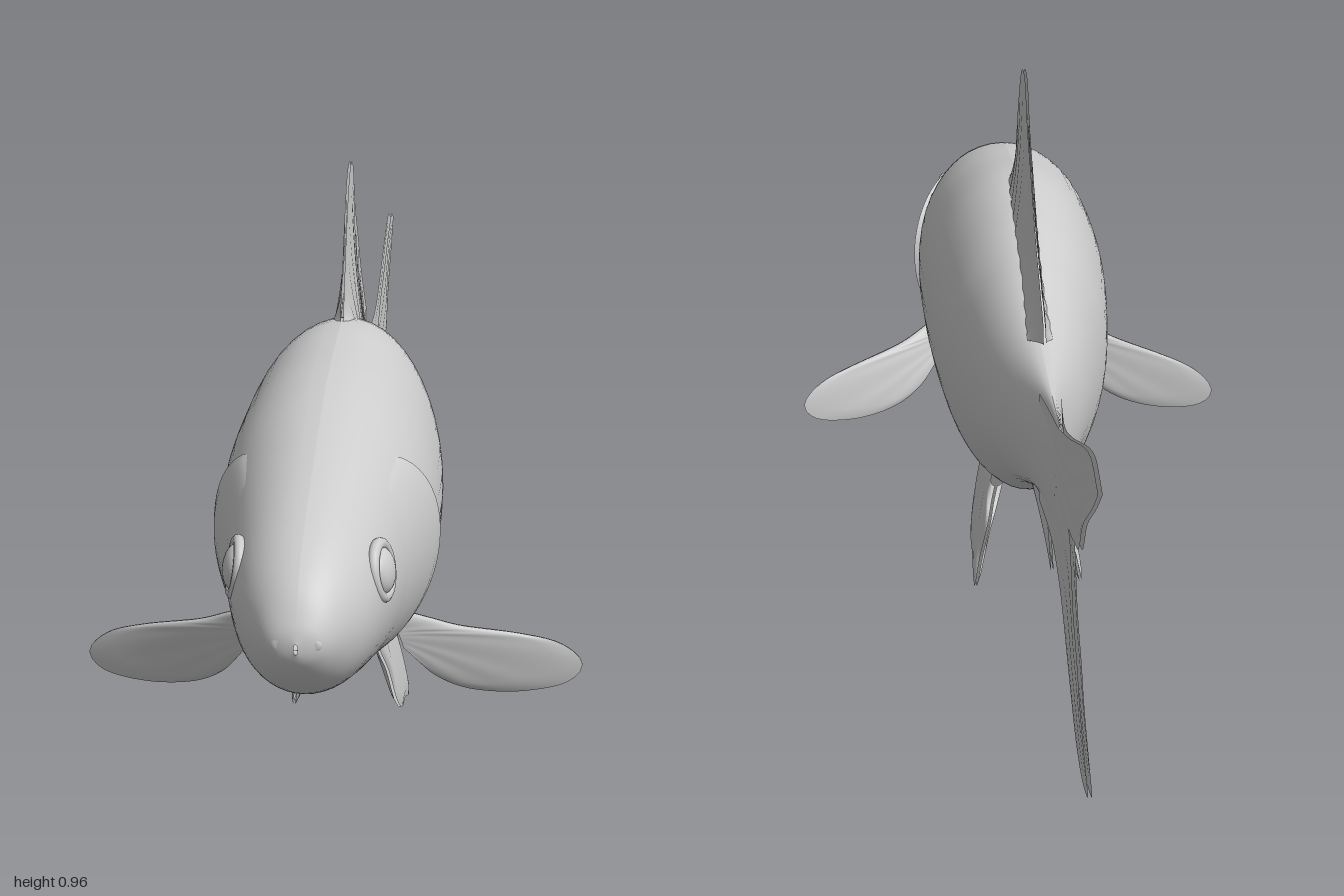
import * as THREE from 'three';

const grey = new THREE.MeshStandardMaterial({ color: 0xcccccc, side: THREE.DoubleSide });

// Smooth surface from a rule: point(u, v) -> [x, y, z]; several sheets share one mesh
function sheets(name, points, nu, nv) {
  const pos = [], index = [];
  points.forEach((point, k) => {
    const base = pos.length / 3;
    for (let i = 0; i <= nu; i++)
      for (let j = 0; j <= nv; j++) pos.push(...point(i / nu, j / nv));
    for (let i = 0; i < nu; i++)
      for (let j = 0; j < nv; j++) {
        const a = base + i * (nv + 1) + j, b = a + nv + 1;
        if (k % 2) index.push(a, a + 1, b, b, a + 1, b + 1);
        else index.push(a, b, a + 1, b, b + 1, a + 1);
      }
  });
  const g = new THREE.BufferGeometry();
  g.setAttribute('position', new THREE.Float32BufferAttribute(pos, 3));
  g.setIndex(index);
  g.computeVertexNormals();
  const mesh = new THREE.Mesh(g, grey);
  mesh.name = name;
  return mesh;
}

const spline = (pts) => new THREE.SplineCurve(pts.map((p) => new THREE.Vector2(...p)));

// Fin spanned between a root curve and a rim curve, given two skins by place(a, b, side, u, v)
function fin(name, root, rim, place, nu = 48, nv = 12) {
  const A = spline(root), B = spline(rim);
  const skin = (side) => (u, v) => {
    const p = A.getPointAt(u).lerp(B.getPointAt(u), v);
    return place(p.x, p.y, side, u, v);
  };
  return sheets(name, [skin(1), skin(-1)], nu, nv);
}

// Body stations: z, top, bottom, half width
const stations = [
  [1.0, 0.425, 0.41, 0.003], [0.99, 0.452, 0.388, 0.035], [0.96, 0.495, 0.355, 0.062],
  [0.9, 0.54, 0.318, 0.093], [0.8, 0.587, 0.29, 0.118], [0.6, 0.66, 0.25, 0.155],
  [0.5, 0.688, 0.228, 0.167], [0.4, 0.705, 0.205, 0.17], [0.25, 0.72, 0.185, 0.166],
  [0.1, 0.695, 0.178, 0.15], [0, 0.655, 0.205, 0.126], [-0.1, 0.61, 0.265, 0.1],
  [-0.2, 0.576, 0.312, 0.072], [-0.3, 0.562, 0.35, 0.043], [-0.4, 0.56, 0.36, 0.02],
  [-0.5, 0.56, 0.345, 0.007],
];
const channel = (k) => spline(stations.map((s) => [s[0], s[k]]));
const top = channel(1), bottom = channel(2), width = channel(3);

// Point on the body skin at spline parameter t and angle from the back
function skinPoint(t, angle, off = 0) {
  const a = top.getPoint(t), b = bottom.getPoint(t).y, w = width.getPoint(t).y;
  return [(w + off) * Math.sin(angle), (a.y + b) / 2 + ((a.y - b) / 2 + off) * Math.cos(angle), a.x];
}

// Spline parameter at a given z
function paramAt(z) {
  let lo = 0, hi = 1;
  for (let i = 0; i < 30; i++) {
    const m = (lo + hi) / 2;
    if (top.getPoint(m).x > z) lo = m; else hi = m;
  }
  return lo;
}

export function createModel() {
  const fish = new THREE.Group();
  fish.name = 'fish';

  fish.add(sheets('body', [(u, v) => skinPoint(u, v * Math.PI * 2)], 90, 48));

  // Mouth: a flattened ring of lips
  const mouth = new THREE.Mesh(new THREE.TorusGeometry(0.027, 0.009, 10, 28), grey);
  mouth.name = 'lips';
  mouth.scale.set(1, 0.45, 0.7);
  mouth.position.set(0, 0.421, 0.988);
  fish.add(mouth);

  // Dorsal fin
  fish.add(fin('dorsalFin',
    [[0.25, 0.71], [0.1, 0.68], [-0.05, 0.61], [-0.19, 0.575]],
    [[0.255, 0.72], [0.235, 0.77], [0.195, 0.85], [0.14, 0.93], [0.095, 0.955], [0.05, 0.945],
      [0.01, 0.875], [-0.05, 0.815], [-0.13, 0.735], [-0.22, 0.665], [-0.26, 0.635], [-0.27, 0.6]],
    (z, y, s, u, v) => [s * (0.002 + 0.018 * (1 - v) ** 2 + 0.001 * (1 + Math.cos(u * 70)) * (1 - v)), y, z]));

  // Tail fin: two lobes meeting on the middle line
  const tailSkin = (z, y, s, u, v) => {
    const taper = Math.max(0, (z + 0.62) / 0.3);
    return [s * (0.003 + 0.02 * taper ** 2 + 0.0015 * Math.cos(v * 20) * u * (1 - u)), y, z];
  };
  fish.add(fin('upperTailLobe',
    [[-0.36, 0.555], [-0.45, 0.562], [-0.53, 0.572], [-0.64, 0.608], [-0.74, 0.647], [-0.85, 0.69], [-0.93, 0.71], [-1, 0.695]],
    [[-0.36, 0.46], [-0.5, 0.46], [-0.66, 0.465], [-0.74, 0.483], [-0.79, 0.5], [-0.84, 0.565], [-0.94, 0.64], [-1, 0.69]],
    tailSkin));
  fish.add(fin('lowerTailLobe',
    [[-0.36, 0.46], [-0.5, 0.46], [-0.66, 0.465], [-0.7, 0.42], [-0.73, 0.36], [-0.785, 0.305], [-0.83, 0.25], [-0.93, 0.175]],
    [[-0.36, 0.365], [-0.47, 0.345], [-0.55, 0.305], [-0.62, 0.257], [-0.72, 0.195], [-0.79, 0.162], [-0.86, 0.152], [-0.925, 0.165]],
    tailSkin));

  // Anal fin
  fish.add(fin('analFin',
    [[-0.05, 0.3], [-0.13, 0.33], [-0.25, 0.375]],
    [[-0.06, 0.287], [-0.15, 0.28], [-0.25, 0.262], [-0.33, 0.262], [-0.395, 0.253], [-0.37, 0.29], [-0.31, 0.335], [-0.26, 0.365]],
    (z, y, s, u, v) => [s * (0.002 + 0.016 * (1 - v) ** 1.5 + 0.002 * (1 + Math.cos(u * 30)) * (1 - v)), y, z]));

  // Paired parts, mirrored left and right
  for (const [label, m] of [['left', 1], ['right', -1]]) {
    // Gill cover: raised plate whose curved rear rim folds into the body
    fish.add(sheets(label + 'GillCover', [(u, v) => {
      const arc = Math.sin(Math.PI * v), rear = 0.62 - 0.09 * arc;
      const z = THREE.MathUtils.lerp(0.74, rear, Math.min(1, u / 0.9));
      const off = u > 0.95 ? -0.006 : -0.002 + 0.012 * Math.min(1, u / 0.75) * Math.sqrt(arc);
      const p = skinPoint(paramAt(z), 0.8 + 1.75 * v, off);
      return [m * p[0], p[1], p[2]];
    }], 20, 28));

    // Eye: shallow dome with a lid ring
    const eye = new THREE.Group();
    eye.name = label + 'Eye';
    const ball = new THREE.Mesh(new THREE.SphereGeometry(0.034, 24, 16), grey);
    ball.name = 'eyeball';
    ball.scale.z = 0.55;
    const lid = new THREE.Mesh(new THREE.TorusGeometry(0.038, 0.009, 10, 32), grey);
    lid.name = 'eyelid';
    eye.add(ball, lid);
    eye.position.set(m * 0.104, 0.477, 0.82);
    eye.rotation.set(-0.15, m * 1.35, 0, 'YXZ');
    fish.add(eye);

    // Pectoral fin: sweeps outward, down and back
    fish.add(fin(label + 'PectoralFin',
      [[0.11, 0.305], [0.115, 0.285], [0.12, 0.265]],
      [[0.13, 0.325], [0.16, 0.31], [0.21, 0.288], [0.3, 0.264], [0.36, 0.242], [0.395, 0.21], [0.392, 0.185],
        [0.36, 0.166], [0.29, 0.16], [0.22, 0.172], [0.17, 0.2], [0.14, 0.24], [0.125, 0.26]],
      (x, y, s, u, v) => {
        const reach = Math.max(0, (x - 0.11) / 0.285);
        const z = 0.525 - 0.11 * reach ** 0.75 + (y - 0.22) * 0.35 * (1 - 0.6 * reach);
        const edge = Math.sqrt(1 - v ** 3);
        return [m * x, y, z + s * (0.001 + 0.012 * edge * (1 - 0.5 * reach) + 0.0015 * Math.cos(u * 40) * v * (1 - v))];
      }));

    // Pelvic fin: hangs below the belly and curves outward
    fish.add(fin(label + 'PelvicFin',
      [[0.25, 0.2], [0.17, 0.2], [0.08, 0.195]],
      [[0.26, 0.182], [0.247, 0.15], [0.215, 0.11], [0.2, 0.055], [0.15, 0.022], [0.08, 0.015], [0.02, 0.002],
        [0.03, 0.06], [0.03, 0.118], [0.055, 0.155], [0.07, 0.18]],
      (z, y, s, u, v) => {
        const drop = Math.max(0, (0.2 - y) / 0.2);
        const t = 0.002 + 0.011 * Math.sqrt(1 - v ** 2) + 0.002 * Math.cos(u * 35) * v * (1 - v);
        return [m * (0.045 + 0.052 * drop ** 0.75 + s * t), y, z];
      }));
  }
  return fish;
}
